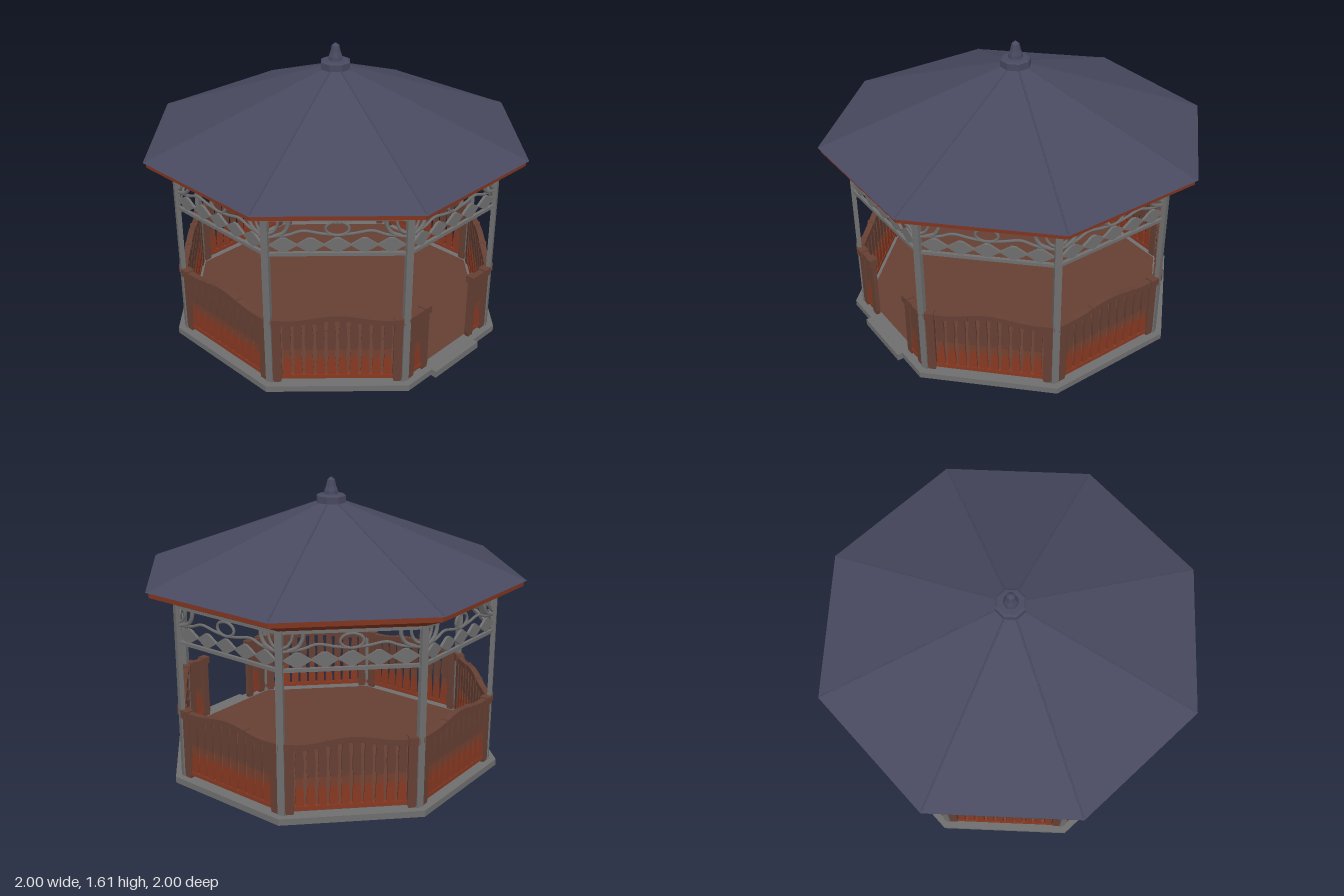
import * as THREE from 'three';

const C8 = Math.cos(Math.PI / 8);
const APO = 0.85;                      // distance from centre to each wall
const HALF = APO * Math.tan(Math.PI / 8);

const material = (name, color) => {
  const m = new THREE.MeshStandardMaterial({ color });
  m.name = name;
  return m;
};

export function createModel() {
  const mat = {
    slate: material('slateRoof', 0x48485f),
    iron: material('greyIron', 0x6e6e6e),
    wood: material('brownWood', 0x653f33),
    mid: material('reddishWood', 0x753f2d),
    rust: material('rustWood', 0x863822),
    soffit: material('redSoffit', 0x80341f),
  };
  const model = new THREE.Group();
  model.name = 'gazebo';

  const add = (parent, name, geo, m, x = 0, y = 0, z = 0) => {
    const mesh = new THREE.Mesh(geo, m);
    mesh.name = name;
    mesh.position.set(x, y, z);
    parent.add(mesh);
    return mesh;
  };
  const box = (parent, name, m, w, h, d, x, y, z) =>
    add(parent, name, new THREE.BoxGeometry(w, h, d), m, x, y, z);

  // Eight-sided solid from [apothem, y] points, flats facing the axes
  const octagon = (name, pts, m) => {
    const profile = pts.map(([a, y]) => new THREE.Vector2(a / C8, y));
    const geo = new THREE.LatheGeometry(profile, 8, Math.PI / 8).toNonIndexed();
    geo.computeVertexNormals();
    return add(model, name, geo, m);
  };
  // Flat outline extruded about z = 0
  const plate = (parent, name, pts, depth, m) => {
    const shape = new THREE.Shape(pts.map(([x, y]) => new THREE.Vector2(x, y)));
    const geo = new THREE.ExtrudeGeometry(shape, { depth, bevelEnabled: false });
    geo.translate(0, 0, -depth / 2);
    return add(parent, name, geo, m);
  };
  // Iron scroll through [x, y] points
  const scroll = (parent, name, pts, r, closed = false) => {
    const curve = new THREE.CatmullRomCurve3(pts.map(([x, y]) => new THREE.Vector3(x, y, 0)), closed);
    return add(parent, name, new THREE.TubeGeometry(curve, 20, r, 5, closed), mat.iron);
  };

  // Base, floor and entrance step
  octagon('baseRim', [[0.84, 0], [0.89, 0], [0.9, 0.005], [0.9, 0.04], [0.83, 0.04]], mat.iron);
  octagon('floor', [[0, 0.004], [0.845, 0.004], [0.845, 0.038], [0, 0.038]], mat.wood);
  box(model, 'entranceStep', mat.iron, 0.37, 0.039, 0.06, 0, 0.0195, 0.9);

  // Roof, eaves and ceiling
  octagon('roof', [[0.98, 1.094], [1, 1.1], [0.06, 1.478]], mat.slate);
  octagon('eaves', [[0.855, 1.012], [0.97, 1.065], [0.985, 1.07], [0.985, 1.098]], mat.soffit);
  octagon('ceiling', [[0, 1.475], [0.85, 1.13], [0.85, 1.014]], mat.wood);
  octagon('roofCollar', [[0.078, 1.46], [0.078, 1.508], [0.066, 1.516], [0, 1.518]], mat.slate);
  octagon('finial', [[0.038, 1.515], [0.036, 1.535], [0.027, 1.56], [0.02, 1.595], [0.008, 1.605], [0, 1.612]], mat.slate);

  // Hip ridges and corner posts
  for (let i = 0; i < 8; i++) {
    const corner = new THREE.Group();
    corner.name = 'corner';
    corner.rotation.y = Math.PI / 8 + i * Math.PI / 4;
    model.add(corner);
    const hip = new THREE.LineCurve3(new THREE.Vector3(0, 1.102, 1.072), new THREE.Vector3(0, 1.475, 0.07));
    add(corner, 'hipRidge', new THREE.TubeGeometry(hip, 1, 0.005, 6), mat.slate);
    box(corner, 'post', mat.iron, 0.038, 0.985, 0.025, 0, 0.53, APO / C8);
  }

  // Railing parts
  const railTop = x => 0.425 + (Math.abs(x) < 0.25 ? 0.015 * (1 + Math.cos(Math.PI * x / 0.25)) : 0);
  const balusterHalf = y => 0.02 + 0.0025 * Math.sin((y - 0.06) * 32);

  const baluster = (parent, x) => {
    const cuts = [[0.06, 0.19, mat.rust], [0.19, 0.24, mat.mid], [0.24, railTop(x) - 0.015, mat.wood]];
    for (const [y0, y1, m] of cuts) {
      const left = [], right = [];
      for (let i = 0; i <= 6; i++) {
        const y = y0 + (y1 - y0) * i / 6, w = balusterHalf(y);
        right.push([x + w, y]);
        left.unshift([x - w, y]);
      }
      plate(parent, 'baluster', [...right, ...left], 0.016, m);
    }
  };
  const handrail = (parent, x0, x1) => {
    const top = [], bottom = [];
    for (let i = 0; i <= 24; i++) {
      const x = x0 + (x1 - x0) * i / 24;
      bottom.push([x, railTop(x) - 0.032]);
      top.unshift([x, railTop(x)]);
    }
    plate(parent, 'handrail', [...bottom, ...top], 0.034, mat.wood);
    box(parent, 'lowerRail', mat.rust, x1 - x0, 0.022, 0.022, (x0 + x1) / 2, 0.071, 0);
  };
  const newel = (parent, x) => {
    plate(parent, 'railPost', [[x - 0.018, 0.038], [x + 0.018, 0.038], [x + 0.026, 0.07],
      [x + 0.023, 0.14], [x + 0.023, 0.41], [x - 0.023, 0.41], [x - 0.023, 0.14], [x - 0.026, 0.07]], 0.024, mat.wood);
    box(parent, 'railPostCap', mat.wood, 0.05, 0.042, 0.05, x, 0.412, 0);
  };

  // Walls: railing below, ironwork frieze above
  const slots = [0.029, 0.087, 0.145, 0.203, 0.261];
  for (let k = 0; k < 8; k++) {
    const spin = new THREE.Group();
    spin.name = 'wall';
    spin.rotation.y = k * Math.PI / 4;
    model.add(spin);

    const rail = new THREE.Group();
    rail.name = 'railing';
    rail.position.z = APO;
    spin.add(rail);
    for (const s of [-1, 1]) {
      newel(rail, s * 0.313);
      if (k === 0) {                   // entrance: short railing each side
        newel(rail, s * 0.203);
        baluster(rail, s * 0.261);
        handrail(rail, s > 0 ? 0.18 : -0.345, s > 0 ? 0.345 : -0.18);
      } else {
        slots.forEach(x => baluster(rail, s * x));
        box(rail, 'railJoint', mat.wood, 0.022, 0.034, 0.042, s * 0.116, railTop(0.116) - 0.015, 0);
      }
    }
    if (k !== 0) handrail(rail, -0.345, 0.345);

    const frieze = new THREE.Group();
    frieze.name = 'frieze';
    frieze.position.z = APO;
    spin.add(frieze);
    box(frieze, 'friezeLowerBar', mat.iron, HALF * 2, 0.018, 0.018, 0, 0.812, 0);
    box(frieze, 'friezeTopBar', mat.iron, HALF * 2, 0.02, 0.02, 0, 1.007, 0);
    for (let i = -2; i <= 2; i++) {
      const x = i * 0.132;
      plate(frieze, 'diamond', [[x - 0.07, 0.862], [x - 0.012, 0.826], [x + 0.012, 0.826],
        [x + 0.07, 0.862], [x + 0.012, 0.9], [x - 0.012, 0.9]], 0.014, mat.iron);
    }
    const ring = [];
    for (let i = 0; i < 12; i++) {
      const a = i * Math.PI / 6;
      ring.push([0.058 * Math.cos(a), 0.952 + 0.037 * Math.sin(a)]);
    }
    scroll(frieze, 'centreRing', ring, 0.008, true);
    for (const s of [-1, 1]) {
      const curl = (name, r, pts) => scroll(frieze, name, pts.map(([x, y]) => [s * x, y]), r);
      curl('sideScroll', 0.008, [[0, 0.915], [0.08, 0.925], [0.17, 0.94], [0.24, 0.918], [0.345, 0.905]]);
      curl('bracket', 0.011, [[0.235, 1.0], [0.24, 0.965], [0.262, 0.93], [0.31, 0.91]]);
      curl('outerBracket', 0.008, [[0.285, 1.0], [0.292, 0.965], [0.313, 0.935], [0.345, 0.924]]);
    }
  }
  return model;
}
